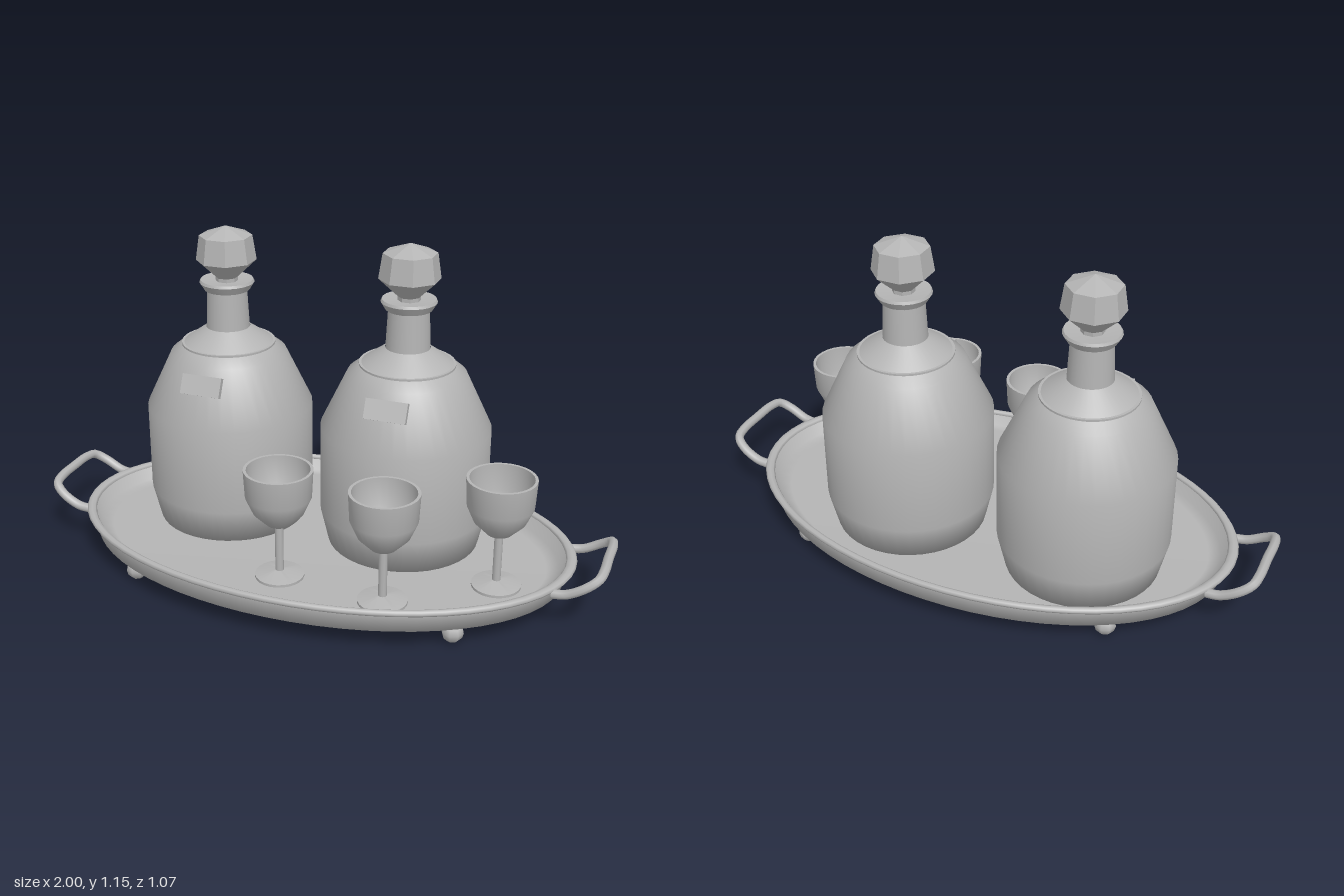
import * as THREE from 'three';
import { toCreasedNormals } from 'three/addons/utils/BufferGeometryUtils.js';

const silver = new THREE.MeshStandardMaterial({ color: 0xb4b4b4 });
silver.name = 'plain grey';

const FLOOR = 0.095;

function add(parent, name, geometry, x = 0, y = 0, z = 0) {
  const mesh = new THREE.Mesh(geometry, silver);
  mesh.name = name;
  mesh.position.set(x, y, z);
  parent.add(mesh);
  return mesh;
}

// Revolves [radius, height] pairs listed from bottom centre outwards and up
function lathe(pairs, segments = 32, phase = 0) {
  return new THREE.LatheGeometry(pairs.map(([r, y]) => new THREE.Vector2(r, y)), segments, phase);
}

// Oval tray: a unit dish stretched along x
function addTray(parent) {
  const tray = new THREE.Group();
  tray.name = 'tray';
  const dish = lathe([
    [0, 0.072], [0.47, 0.072], [0.515, 0.075], [0.526, 0.14],
    [0.516, 0.148], [0.505, 0.105], [0.48, FLOOR], [0, FLOOR],
  ], 64);
  dish.scale(1.635, 1, 1);
  add(tray, 'dish', dish);

  // rolled rim
  const rim = new THREE.TorusGeometry(0.524, 0.011, 8, 64);
  rim.rotateX(Math.PI / 2);
  rim.scale(1.65, 1, 1);
  add(tray, 'rim', rim, 0, 0.148, 0);

  // loop handles rising outwards at both ends
  for (const s of [1, -1]) {
    const half = [[0.835, 0.135, 0.156], [0.88, 0.142, 0.158], [0.94, 0.175, 0.155], [0.975, 0.2, 0.135], [0.984, 0.209, 0.09]];
    const other = half.map(([x, y, z]) => [x, y, -z]).reverse();
    const path = [...half, [0.984, 0.212, 0], ...other].map(([x, y, z]) => new THREE.Vector3(s * x, y, z));
    const curve = new THREE.CatmullRomCurve3(path);
    add(tray, s > 0 ? 'leftHandle' : 'rightHandle', new THREE.TubeGeometry(curve, 40, 0.016, 8));
  }

  // ball feet
  for (const x of [-0.56, 0.56]) {
    for (const z of [-0.327, 0.327]) add(tray, 'foot', new THREE.SphereGeometry(0.037, 8, 6), x, 0.037, z);
  }
  parent.add(tray);
}

function addDecanter(parent, x, z) {
  const decanter = new THREE.Group();
  decanter.name = 'decanter';
  decanter.position.set(x, 0, z);

  add(decanter, 'body', lathe([
    [0, FLOOR], [0.262, FLOOR], [0.29, 0.215], [0.29, 0.52], [0.2, 0.71], [0.152, 0.747], [0.076, 0.8],
  ], 40));
  add(decanter, 'neck', lathe([[0.075, 0.795], [0.068, 0.94]], 24));
  add(decanter, 'shoulderRing', new THREE.CylinderGeometry(0.162, 0.162, 0.008, 40), 0, 0.742, 0);

  // flared lip
  add(decanter, 'lip', toCreasedNormals(lathe([
    [0.065, 0.93], [0.078, 0.932], [0.094, 0.958], [0.09, 0.967], [0.045, 0.962], [0, 0.962],
  ], 24), 0.6));

  // faceted stopper
  const stopper = lathe([[0, 0.96], [0.038, 0.96], [0.038, 0.975], [0.103, 1.035], [0.09, 1.12], [0, 1.153]], 8, Math.PI / 8);
  add(decanter, 'stopper', toCreasedNormals(stopper, 0.1));

  // label plate leaning with the shoulder
  const label = add(decanter, 'label', new THREE.BoxGeometry(0.142, 0.068, 0.018), 0, 0.658, 0.227);
  label.rotation.x = -Math.atan2(0.09, 0.19);
  parent.add(decanter);
}

// Stemmed glass; the flat inside bottom sits at the given radius and height
function addGlass(parent, x, z, innerRadius, innerHeight) {
  const glass = new THREE.Group();
  glass.name = 'glass';
  glass.position.set(x, 0, z);
  add(glass, 'base', toCreasedNormals(lathe([
    [0, FLOOR], [0.082, FLOOR], [0.082, 0.104], [0.014, 0.118],
  ], 24), 0.6));
  add(glass, 'stem', new THREE.CylinderGeometry(0.014, 0.014, 0.2, 10, 1, true), 0, 0.2, 0);
  add(glass, 'bowl', lathe([
    [0, 0.287], [0.042, 0.291], [0.085, 0.335], [0.109, 0.39], [0.114, 0.485],
  ], 28));
  add(glass, 'bowlInside', toCreasedNormals(lathe([
    [0.114, 0.485], [0.104, 0.485], [0.1, 0.395], [innerRadius, innerHeight], [0, innerHeight],
  ], 28), 0.6));
  parent.add(glass);
}

export function createModel() {
  const model = new THREE.Group();
  model.name = 'decanterSet';
  addTray(model);
  addDecanter(model, -0.39, -0.11);
  addDecanter(model, 0.255, -0.122);
  addGlass(model, -0.045, 0.288, 0.06, 0.325);
  addGlass(model, 0.325, 0.325, 0.06, 0.325);
  addGlass(model, 0.643, 0.101, 0.092, 0.37);
  return model;
}
